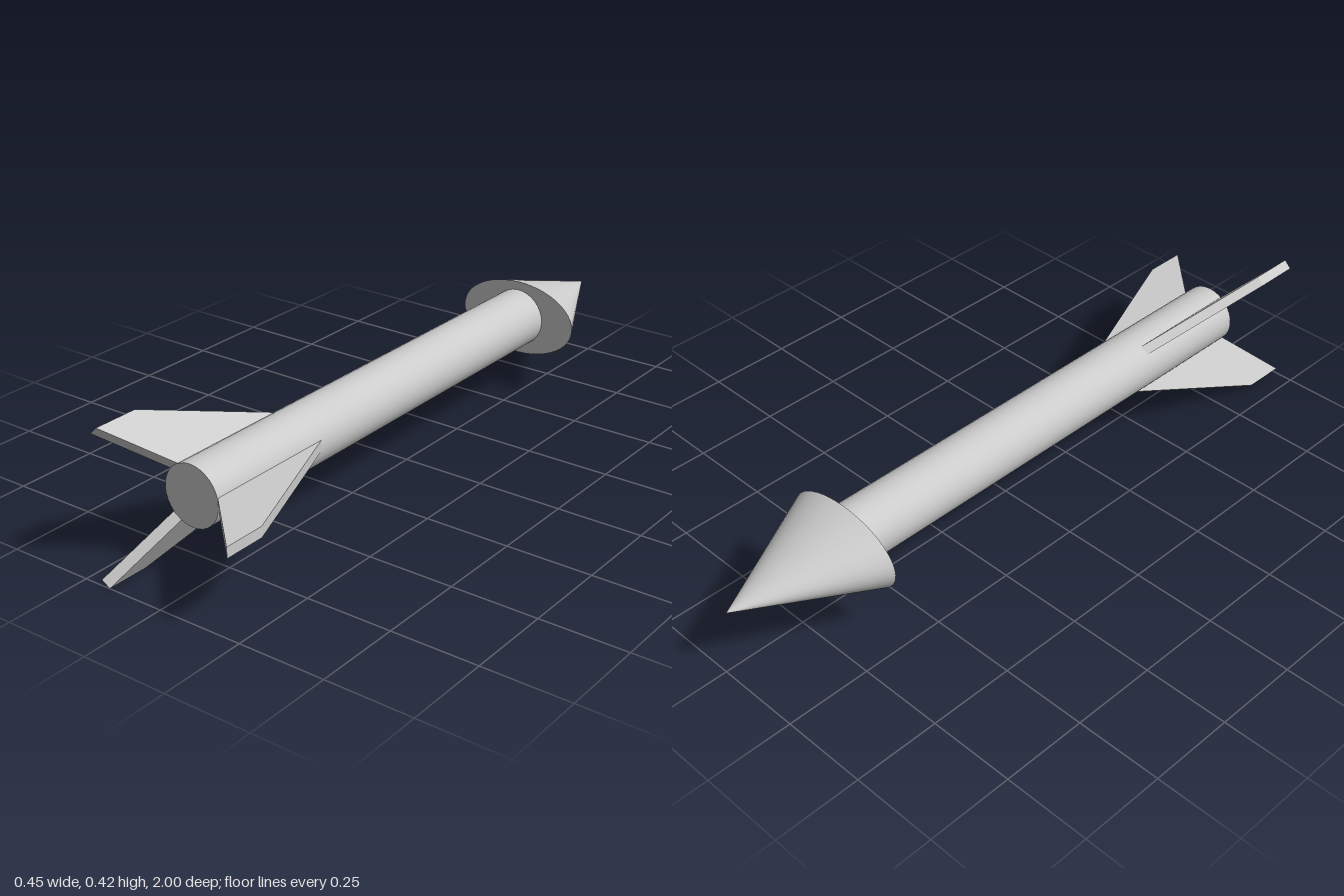
import * as THREE from 'three';

const AXIS = { x: -0.034, y: 0.228 };
const BODY_REAR = 0.836;
const CONE_BASE = -0.618;

// Swept fin: root and tip are [x, y] on the mid-plane, z values set the outline
function makeFin({ name, root, tip, rootFront, tipFront, tipRear, thickness }, material) {
  const a = new THREE.Vector3(root[0], root[1], 0);
  const out = new THREE.Vector3(tip[0], tip[1], 0).sub(a);
  const span = out.length();
  out.normalize();

  // Sink the root slightly into the body, keeping the edge slopes
  const inset = 0.01;
  const k = inset / span;
  const shape = new THREE.Shape([
    new THREE.Vector2(-inset, rootFront - (tipFront - rootFront) * k),
    new THREE.Vector2(span, tipFront),
    new THREE.Vector2(span, tipRear),
    new THREE.Vector2(-inset, BODY_REAR - (tipRear - BODY_REAR) * k),
  ]);
  const geometry = new THREE.ExtrudeGeometry(shape, { depth: thickness, bevelEnabled: false });
  geometry.translate(0, 0, -thickness / 2);

  const along = new THREE.Vector3(0, 0, 1);
  const side = new THREE.Vector3().crossVectors(out, along);
  geometry.applyMatrix4(new THREE.Matrix4().makeBasis(out, along, side).setPosition(a));

  const fin = new THREE.Mesh(geometry, material);
  fin.name = name;
  return fin;
}

export function createModel() {
  const group = new THREE.Group();
  group.name = 'rocket';
  const material = new THREE.MeshStandardMaterial({ color: 0xcccccc });

  // Cylindrical body lying along z
  const length = BODY_REAR - CONE_BASE;
  const bodyGeometry = new THREE.CylinderGeometry(0.087, 0.087, length, 32);
  bodyGeometry.rotateX(-Math.PI / 2);
  const body = new THREE.Mesh(bodyGeometry, material);
  body.name = 'body';
  body.position.set(AXIS.x, AXIS.y, (BODY_REAR + CONE_BASE) / 2);
  group.add(body);

  // Wide elliptical nose cone pointing to -z
  const coneLength = 1 + CONE_BASE;
  const coneGeometry = new THREE.ConeGeometry(1, coneLength, 48);
  coneGeometry.rotateX(-Math.PI / 2);
  coneGeometry.scale(0.193, 0.114, 1);
  const cone = new THREE.Mesh(coneGeometry, material);
  cone.name = 'noseCone';
  cone.position.set(AXIS.x, 0.227, CONE_BASE - coneLength / 2);
  group.add(cone);

  // Three slightly different tail fins
  const fins = [
    { name: 'leftFin', root: [0.052, 0.2325], tip: [0.225, 0.2325],
      rootFront: 0.443, tipFront: 0.878, tipRear: 1, thickness: 0.03 },
    { name: 'upperRightFin', root: [-0.09, 0.2955], tip: [-0.2035, 0.411],
      rootFront: 0.48, tipFront: 0.85, tipRear: 0.98, thickness: 0.029 },
    { name: 'lowerRightFin', root: [-0.085, 0.159], tip: [-0.1815, 0.009],
      rootFront: 0.45, tipFront: 0.876, tipRear: 1, thickness: 0.03 },
  ];
  for (const fin of fins) group.add(makeFin(fin, material));

  return group;
}
